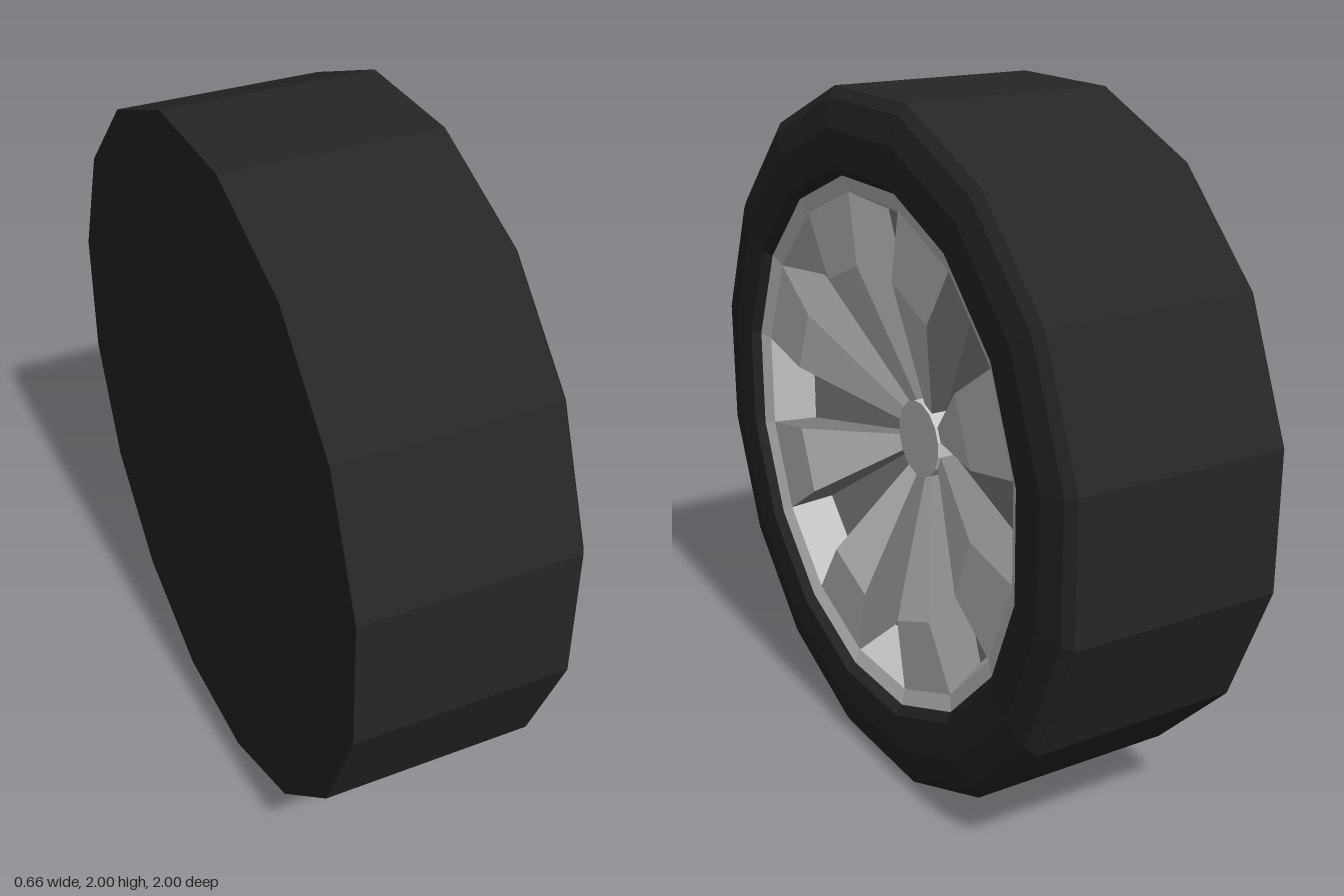
import * as THREE from 'three';

const SIDES = 16;
const STEP = (2 * Math.PI) / SIDES;
const ALL = [...Array(SIDES).keys()];
const SLOTS = ALL.filter(k => k % 2 === 0);
const SPOKES = ALL.filter(k => k % 2 === 1);

// Point on the wheel: r is measured to the flat of the polygon, x along the axle
function point([r, x], angle) {
  const R = r / Math.cos(STEP / 2);
  return [x, 1 + R * Math.cos(angle), R * Math.sin(angle)];
}

// Flat-shaded geometry from loose triangles
function facets(triangles) {
  const g = new THREE.BufferGeometry();
  g.setAttribute('position', new THREE.Float32BufferAttribute(triangles.flat(2), 3));
  g.computeVertexNormals();
  return g;
}

// Sweeps a profile of [r, x] points over the chosen segments of the wheel
function sweep(segments, profile) {
  const tris = [];
  for (const k of segments) {
    const a = (k - 0.5) * STEP, b = (k + 0.5) * STEP;
    for (let i = 0; i + 1 < profile.length; i++) {
      const p = profile[i], q = profile[i + 1];
      if (p[0] > 0) tris.push([point(p, a), point(p, b), point(q, b)]);
      if (q[0] > 0) tris.push([point(p, a), point(q, b), point(q, a)]);
    }
  }
  return facets(tris);
}

// Both side walls of every slot, between spoke face and slot floor
function slotWalls(spokeFace, floor) {
  const [A, B, C] = spokeFace;
  const [E, D] = floor;
  const tris = [];
  for (const k of SLOTS) {
    for (const side of [-1, 1]) {
      const angle = (k + side * 0.5) * STEP;
      for (const t of [[A, B, E], [B, D, E], [B, C, D]]) {
        const tri = t.map(p => point(p, angle));
        tris.push(side > 0 ? tri : tri.reverse());
      }
    }
  }
  return facets(tris);
}

export function createModel() {
  const group = new THREE.Group();
  const material = (name, color) => {
    const m = new THREE.MeshStandardMaterial({ color });
    m.name = name;
    return m;
  };
  const rubber = material('black rubber', 0x262626);
  const alloy = material('light alloy', 0xc6c6c6);
  const shade = material('dark alloy', 0x848484);

  const add = (name, geometry, mat) => {
    const mesh = new THREE.Mesh(geometry, mat);
    mesh.name = name;
    group.add(mesh);
  };

  const spokeFace = [[0.715, 0.29], [0.51, 0.29], [0.11, 0.145]];
  const floor = [[0.655, 0.17], [0.11, 0.1]];

  // Tyre with closed back, rounded shoulder and inner lip
  add('tyre', sweep(ALL, [
    [0, -0.33], [1, -0.33], [1, 0.295], [0.97, 0.315],
    [0.89, 0.33], [0.785, 0.328], [0.76, 0.304],
  ]), rubber);

  // Rim edge, spokes and the recessed slots between them
  add('rimEdge', sweep(ALL, [[0.76, 0.304], spokeFace[0]]), alloy);
  add('spokes', sweep(SPOKES, spokeFace), alloy);
  add('slotEnds', sweep(SLOTS, [spokeFace[0], floor[0]]), alloy);
  add('slotFloors', sweep(SLOTS, floor), shade);
  add('slotWalls', slotWalls(spokeFace, floor), shade);

  // Hub cap
  add('hubCap', sweep(ALL, [[0.113, 0.08], [0.113, 0.155], [0, 0.155]]), alloy);

  return group;
}
